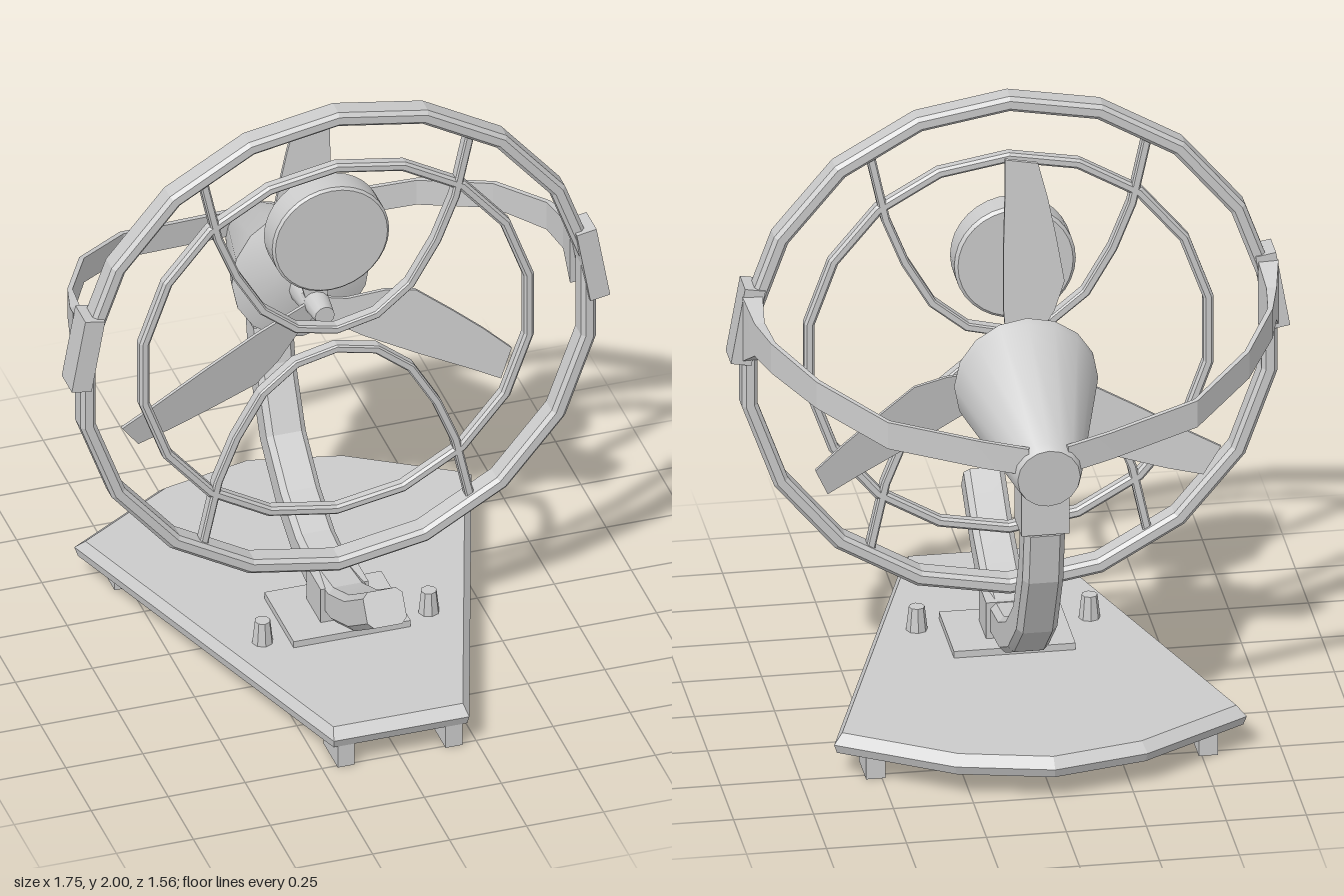
import * as THREE from 'three';
import { toCreasedNormals } from 'three/addons/utils/BufferGeometryUtils.js';

const V = (x, y, z) => new THREE.Vector3(x, y, z);
const material = new THREE.MeshStandardMaterial({ color: 0xcccccc });
const CY = 1.15; // height of the fan axis

export function createModel() {
  const model = new THREE.Group();

  function add(name, geometry, x = 0, y = 0, z = 0, crease = 0.2) {
    const mesh = new THREE.Mesh(toCreasedNormals(geometry, crease), material);
    mesh.name = name;
    mesh.position.set(x, y, z);
    model.add(mesh);
    return mesh;
  }
  const box = (name, w, h, d, x, y, z) => add(name, new THREE.BoxGeometry(w, h, d), x, y, z);

  // Rectangle section with chamfered corners, counter-clockwise
  const section = (a, b, c) => [
    [a, -b + c], [a, b - c], [a - c, b], [-a + c, b],
    [-a, b - c], [-a, -b + c], [-a + c, -b], [a - c, -b],
  ];

  // Sweeps a convex section along a path; binormal stays fixed, scales are per point
  function sweep(path, binormal, sec, scales) {
    const pos = [], idx = [], n = sec.length, last = path.length - 1;
    path.forEach((p, i) => {
      const t = path[Math.min(i + 1, last)].clone().sub(path[Math.max(i - 1, 0)]);
      const normal = binormal.clone().cross(t).normalize();
      const [su, sv] = scales ? scales[i] : [1, 1];
      for (const [u, v] of sec) {
        const q = p.clone().addScaledVector(normal, u * su).addScaledVector(binormal, v * sv);
        pos.push(q.x, q.y, q.z);
      }
    });
    for (let i = 0; i < last; i++) {
      for (let j = 0; j < n; j++) {
        const a = i * n + j, b = i * n + (j + 1) % n;
        idx.push(a, b, b + n, a, b + n, a + n);
      }
    }
    for (let j = 1; j < n - 1; j++) {
      idx.push(0, j + 1, j, last * n, last * n + j, last * n + j + 1);
    }
    const g = new THREE.BufferGeometry();
    g.setAttribute('position', new THREE.Float32BufferAttribute(pos, 3));
    g.setIndex(idx);
    return g;
  }

  // Faceted ring around the fan axis
  function ring(name, rIn, rOut, halfDepth, chamfer) {
    const sec = section((rOut - rIn) / 2, halfDepth, chamfer);
    const pts = [...sec, sec[0]].map(([u, v]) => new THREE.Vector2((rIn + rOut) / 2 + u, v));
    add(name, new THREE.LatheGeometry(pts, 18).rotateX(Math.PI / 2), 0, CY, 0.12);
  }

  // Base board: straight front, bowed back, chamfered top edge
  const outline = [[0.22, 0.775], [-0.22, 0.775], [-0.645, -0.5], [-0.3, -0.715],
    [0, -0.785], [0.3, -0.715], [0.645, -0.5]].reverse();
  const signed = outline.reduce((s, [x, z], i) => {
    const [x2, z2] = outline[(i + 1) % outline.length];
    return s + x * z2 - x2 * z;
  }, 0);
  if (signed < 0) outline.reverse();
  add('base', sweep([V(0, 0.08, 0), V(0, 0.11, 0), V(0, 0.14, 0)], V(0, 0, 1), outline,
    [[0.985, 0.985], [1, 1], [0.955, 0.955]]));

  box('basePlate', 0.38, 0.025, 0.29, 0, 0.15, 0.14);
  box('standSocket', 0.155, 0.125, 0.14, 0, 0.222, 0.14);
  for (const s of [-1, 1]) {
    box('frontFoot', 0.055, 0.085, 0.14, s * 0.175, 0.0425, 0.69);
    box('rearFoot', 0.06, 0.085, 0.14, s * 0.52, 0.0425, -0.46);
    // Control knobs
    add('knob', new THREE.CylinderGeometry(0.025, 0.034, 0.08, 8), s * 0.27, 0.178, 0.22);
  }

  // Curved stand
  const standPath = [[0.83, -0.54], [0.665, -0.51], [0.455, -0.4], [0.325, -0.245], [0.25, -0.09],
    [0.225, 0.07], [0.25, 0.255], [0.325, 0.42], [0.455, 0.61]].map(([y, z]) => V(0, y, z));
  add('stand', sweep(standPath, V(1, 0, 0), section(0.057, 0.064, 0.018)));
  box('motorMount', 0.15, 0.14, 0.135, 0, 0.895, -0.53);

  // Motor housing: cone whose axis slopes down towards the back
  const housing = new THREE.LatheGeometry([[0, 0.17], [0.1, 0.17], [0.225, 0.222], [0.22, 0.245],
    [0.108, 0.64], [0.098, 0.665], [0, 0.665]].map(([r, s]) => new THREE.Vector2(r, s)), 16);
  housing.rotateX(-Math.PI / 2);
  const p = housing.attributes.position;
  for (let i = 0; i < p.count; i++) {
    const y = p.getY(i), s = -p.getZ(i);
    p.setY(i, y + 1.172 - 0.28 * (s - 0.225));
    p.setZ(i, -s - 0.08 * y);
  }
  add('motorHousing', housing, 0, 0, 0, 0.5);

  // Shaft and hub
  const axial = (r1, r2, len, sides) =>
    new THREE.CylinderGeometry(r1, r2, len, sides).rotateX(Math.PI / 2);
  add('shaft', axial(0.045, 0.06, 0.13, 12), 0, CY, -0.135, 0.6);
  add('hub', axial(0.032, 0.045, 0.11, 12), 0, CY + 0.01, -0.04, 0.6);

  // Three pitched blades
  const bladeShape = new THREE.Shape([[0.03, 0.01], [0.045, 0.2], [0.045, 0.4], [0.04, 0.6], [0.04, 0.71],
    [-0.06, 0.7], [-0.09, 0.58], [-0.115, 0.45], [-0.14, 0.3], [-0.11, 0.2], [-0.05, 0.09], [-0.03, 0.01]]
    .map(([x, y]) => new THREE.Vector2(x, y)));
  for (let k = 0; k < 3; k++) {
    const g = new THREE.ExtrudeGeometry(bladeShape, { depth: 0.012, bevelEnabled: false });
    const q = g.attributes.position;
    for (let i = 0; i < q.count; i++) q.setZ(i, q.getZ(i) - 0.075 + 0.2 * q.getX(i));
    add('blade', g, 0, CY, 0).rotation.z = k * Math.PI * 2 / 3;
  }

  // Guard rings
  ring('outerRing', 0.8, 0.85, 0.04, 0.012);
  ring('innerRing', 0.617, 0.65, 0.02, 0.008);

  // Curved guard bars, one above and one below the axis
  const half = [[0.435, 0.68], [0.385, 0.45], [0.325, 0.3], [0.24, 0.155], [0.13, 0.065]];
  const bar = [...half, [0, 0.035], ...half.map(([x, y]) => [-x, y]).reverse()];
  for (const s of [-1, 1]) {
    add('guardBar', sweep(bar.map(([x, y]) => V(x, CY + s * y, 0.12)), V(0, 0, 1),
      section(0.014, 0.02, 0.005)));
  }

  // Round front disc
  const disc = [[0, -0.02], [0.18, -0.02], [0.19, -0.01], [0.19, 0.072], [0.182, 0.08], [0, 0.08]];
  add('frontDisc', new THREE.LatheGeometry(disc.map(([r, z]) => new THREE.Vector2(r, z)), 32)
    .rotateX(Math.PI / 2), 0, 1.483, 0, 0.5);

  // Side arms from the motor to the clamps on the outer ring
  const armPath = [[0.06, 1.105, -0.65], [0.2, 1.125, -0.615], [0.48, 1.175, -0.535], [0.67, 1.24, -0.35],
    [0.777, 1.275, -0.14], [0.8, 1.283, -0.02], [0.806, 1.275, 0.08]];
  const armScale = [[1, 0.9], [1, 0.9], [1, 0.9], [1, 0.9], [1, 1], [2, 1.1], [4, 2.2]];
  for (const s of [-1, 1]) {
    add('sideArm', sweep(armPath.map(([x, y, z]) => V(s * x, y, z)), V(0, 1, 0),
      section(0.008, 0.05, 0), armScale));
    box('ringClamp', 0.065, 0.255, 0.1, s * 0.82, 1.28, 0.125).rotation.z = s * Math.PI / 18;
  }

  return model;
}
